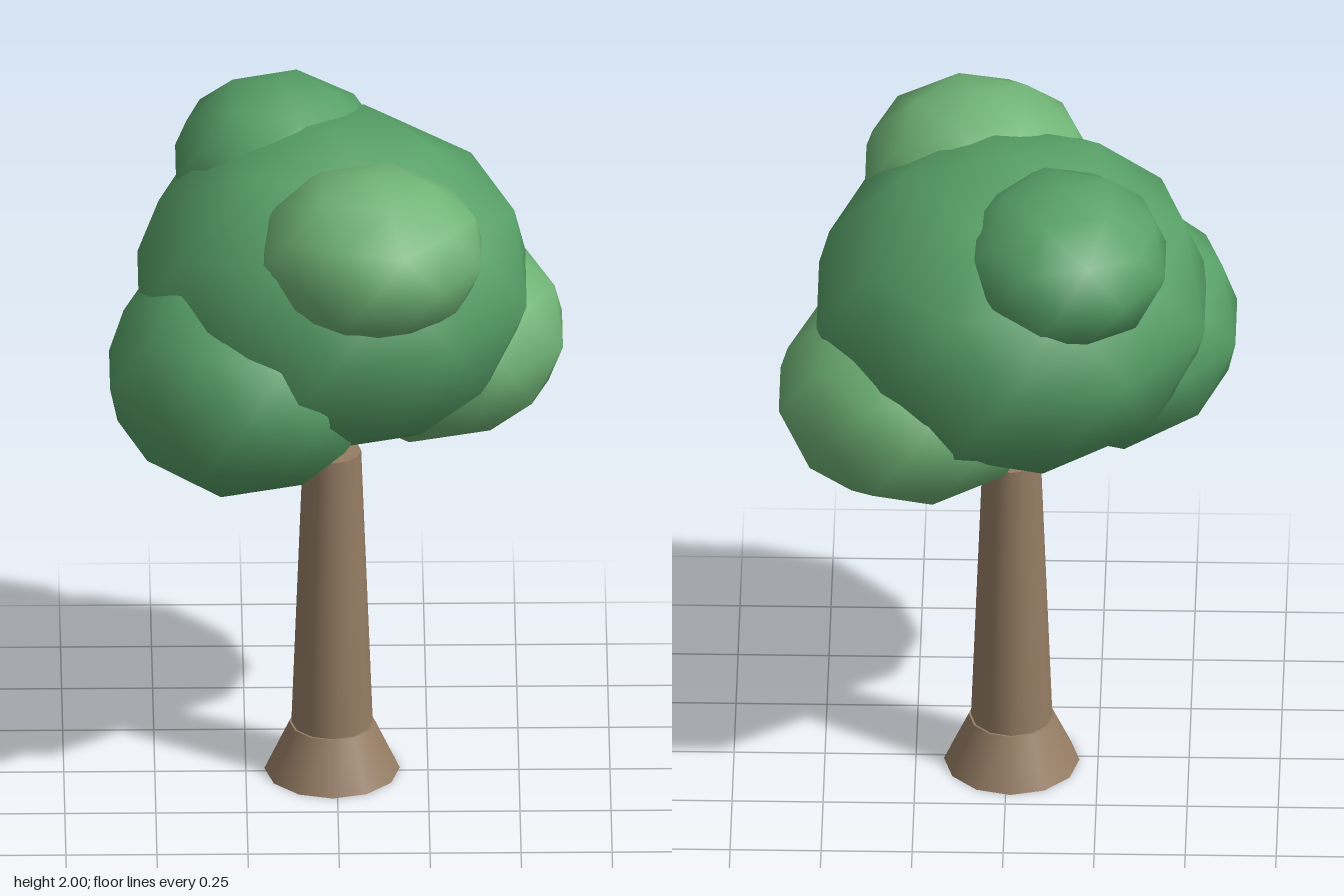
import * as THREE from 'three';

const BARK = 0x967d64, LEAF = 0x57a067, LIGHT_LEAF = 0x70b476;

export function createModel() {
  const tree = new THREE.Group();
  tree.name = 'tree';

  const add = (name, geometry, color, position) => {
    const mesh = new THREE.Mesh(geometry, new THREE.MeshStandardMaterial({ color }));
    mesh.name = name;
    mesh.position.set(...position);
    tree.add(mesh);
    return mesh;
  };

  // Tapered trunk standing on a flared foot
  add('trunk', new THREE.CylinderGeometry(0.08, 0.112, 0.84, 12), BARK, [-0.013, 0.56, -0.017]);
  add('trunkFoot', new THREE.CylinderGeometry(0.118, 0.186, 0.145, 12), BARK, [-0.013, 0.0725, -0.017]);

  // Smooth faceted ball with a corner at its top and bottom
  const tilt = -Math.atan(2 / (1 + Math.sqrt(5)));
  const ball = new THREE.IcosahedronGeometry(1, 1).rotateZ(tilt);

  // Leaf clumps: name, colour, centre, radii
  const clumps = [
    ['mainCrown', LEAF, [-0.013, 1.505, -0.025], [0.56, 0.465, 0.555]],
    ['lowerFrontClump', LEAF, [-0.26, 1.32, 0.155], [0.385, 0.35, 0.378]],
    ['lowerSideClump', LIGHT_LEAF, [0.26, 1.28, -0.155], [0.38, 0.3, 0.36]],
    ['upperFrontClump', LIGHT_LEAF, [0.09, 1.742, 0.28], [0.32, 0.238, 0.3]],
    ['upperBackClump', LEAF, [-0.155, 1.765, -0.235], [0.3, 0.235, 0.308]],
  ];
  for (const [name, color, centre, radii] of clumps) {
    add(name, ball, color, centre).scale.set(...radii);
  }

  return tree;
}
